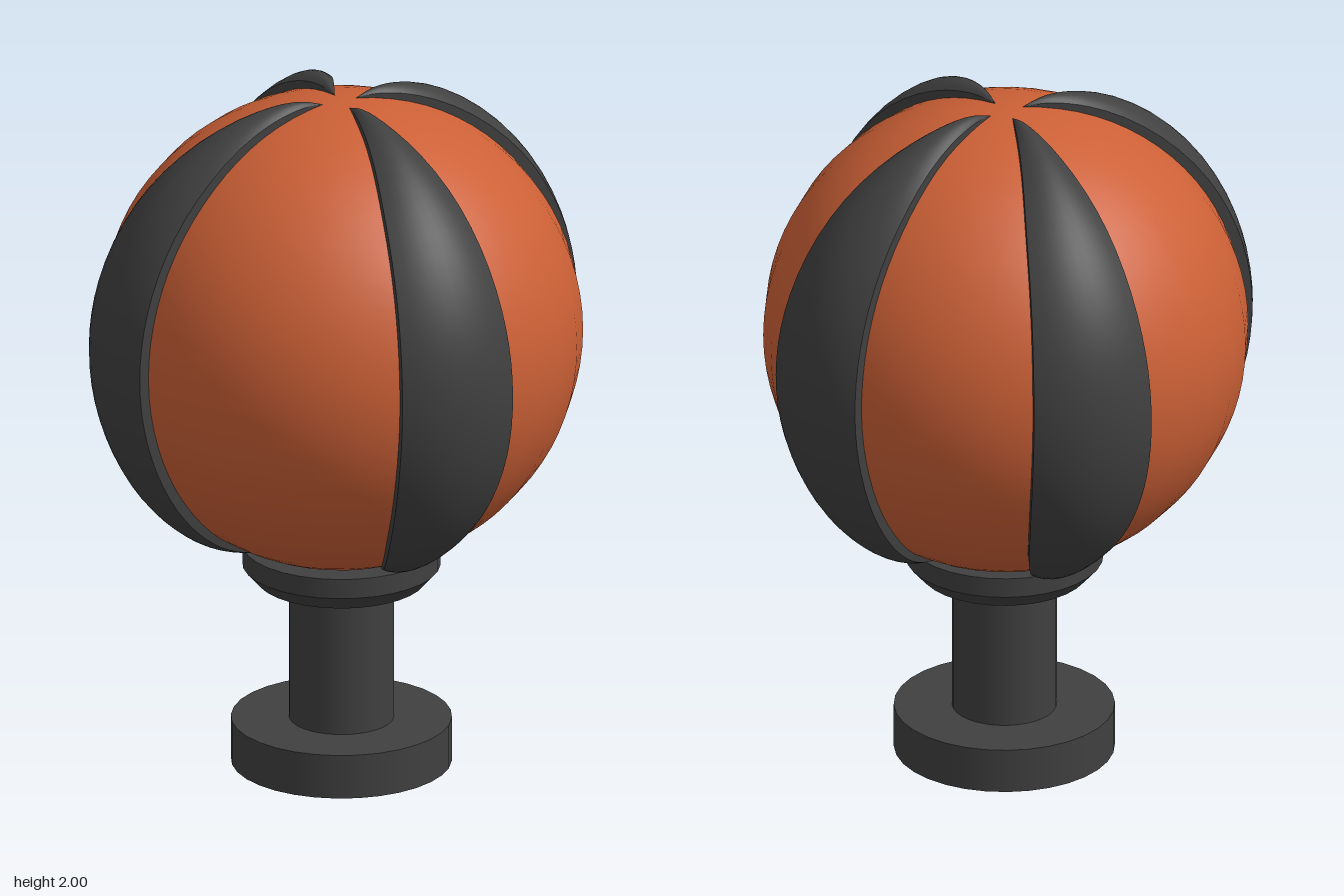
import * as THREE from 'three';
import { mergeGeometries } from 'three/addons/utils/BufferGeometryUtils.js';

const ORANGE = new THREE.MeshStandardMaterial({ color: 0xcc6036 });
const DARK = new THREE.MeshStandardMaterial({ color: 0x404040, side: THREE.DoubleSide });
const BALL_R = 0.685, BALL_Y = 1.3;

function add(parent, name, geometry, material) {
  const mesh = new THREE.Mesh(geometry, material);
  mesh.name = name;
  parent.add(mesh);
  return mesh;
}

// Turned part with sharp edges between the profile's segments
function turned(profile, segments = 32) {
  const rings = profile.slice(1).map((p, i) =>
    new THREE.LatheGeometry([new THREE.Vector2(...profile[i]), new THREE.Vector2(...p)], segments));
  return mergeGeometries(rings);
}

// Surface grid; point(row 0..1, column 0..1) returns a Vector3
function grid(rows, cols, point) {
  const positions = [], index = [];
  for (let i = 0; i <= rows; i++) {
    for (let j = 0; j <= cols; j++) {
      positions.push(...point(i / rows, j / cols).toArray());
      if (i < rows && j < cols) {
        const a = i * (cols + 1) + j, b = a + cols + 1;
        index.push(a, a + 1, b, a + 1, b + 1, b);
      }
    }
  }
  const g = new THREE.BufferGeometry();
  g.setAttribute('position', new THREE.Float32BufferAttribute(positions, 3));
  g.setIndex(index);
  g.computeVertexNormals();
  return g;
}

// Band sections: polar angle in degrees, half width, height above the ball
const SECTIONS = [
  [4.5, 0, 0], [10, 0.018, 0.027], [20, 0.048, 0.045], [45, 0.12, 0.055],
  [70, 0.163, 0.057], [90, 0.176, 0.057], [110, 0.168, 0.057],
  [130, 0.13, 0.055], [145, 0.075, 0.04], [160, 0, 0],
];
const bandCurve = new THREE.CatmullRomCurve3(SECTIONS.map(
  ([deg, w, h]) => new THREE.Vector3(THREE.MathUtils.degToRad(deg), w, h)));

// Raised leaf-shaped band running from the pole down to the collar
function bandGeometry(azimuth) {
  const at = (t, u, inner) => {
    const s = bandCurve.getPoint(t);
    const alpha = azimuth + u * Math.max(s.y, 0) / (0.7 * Math.sin(s.x));
    const r = inner ? BALL_R - 0.03 : BALL_R + Math.max(s.z, 0) * (1 - 0.5 * u * u);
    return new THREE.Vector3(
      r * Math.sin(s.x) * Math.cos(alpha), r * Math.cos(s.x), r * Math.sin(s.x) * Math.sin(alpha));
  };
  return mergeGeometries([
    grid(45, 10, (t, v) => at(t, 2 * v - 1)),
    grid(45, 1, (t, v) => at(t, -1, v === 0)),
    grid(45, 1, (t, v) => at(t, 1, v === 1)),
  ]);
}

export function createModel() {
  const model = new THREE.Group();
  model.name = 'stripedBallOnStand';

  // Stand: hollow foot, open post and chamfered collar
  const stand = new THREE.Group();
  stand.name = 'stand';
  stand.position.set(0.007, 0, 0.007);
  model.add(stand);
  add(stand, 'foot', turned([[0.312, 0], [0.312, 0.13], [0.148, 0.13]]), DARK);
  add(stand, 'post', turned([[0.148, 0.13], [0.148, 0.66]]), DARK);
  add(stand, 'collar',
    turned([[0.148, 0.547], [0.24, 0.547], [0.28, 0.592], [0.28, 0.65], [0.19, 0.65]]), DARK);

  // Ball
  const ball = new THREE.Group();
  ball.name = 'ballAssembly';
  ball.position.y = BALL_Y;
  model.add(ball);
  add(ball, 'ball', new THREE.SphereGeometry(BALL_R, 30, 40), ORANGE);

  // Four unevenly spaced bands
  [36.3, 131.8, -131.8, -60].forEach((deg, i) =>
    add(ball, `band${i + 1}`, bandGeometry(THREE.MathUtils.degToRad(deg)), DARK));

  return model;
}
